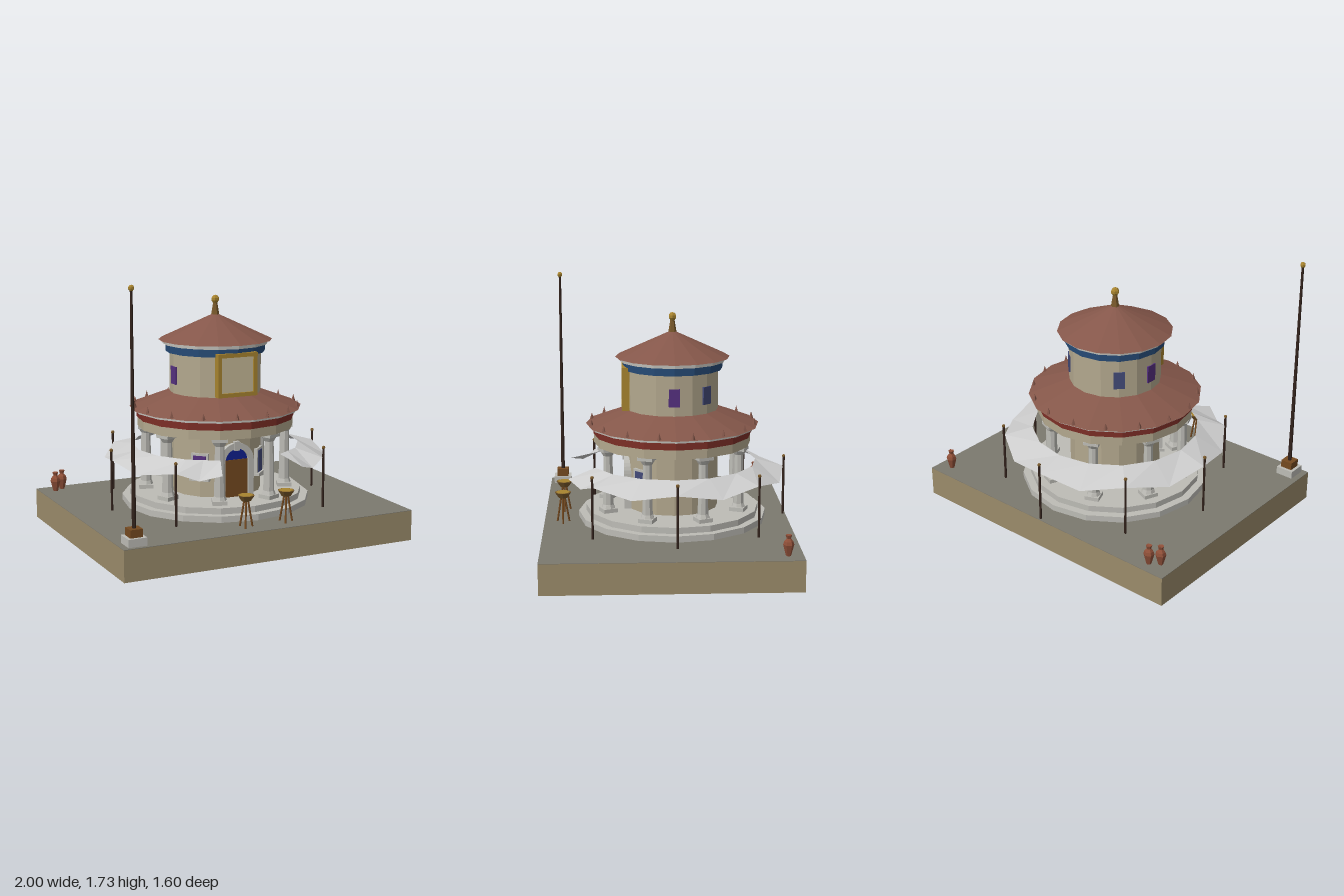
import * as THREE from 'three';

const C = {
  earth: 0x9a8b6a, paving: 0x7c796f, stone: 0xb3a88e, marble: 0xbdbcb6, roof: 0x85574a, red: 0x7c2e26,
  blue: 0x264a75, gold: 0xa8842f, cream: 0xc8bb98, wood: 0x754a20, door: 0x101f90, purple: 0x55307f,
  glass: 0x434a78, dark: 0x33231c, clay: 0x8f4f38, cloth: 0xc0c0c0, bronze: 0x7a5a2c,
};
const SIDES = 16;
const rad = THREE.MathUtils.degToRad;

function mat(color, side = THREE.FrontSide) {
  return new THREE.MeshStandardMaterial({ color, flatShading: true, side });
}
function add(parent, name, geo, color, x = 0, y = 0, z = 0, side) {
  const m = new THREE.Mesh(geo, mat(color, side));
  m.name = name;
  m.position.set(x, y, z);
  parent.add(m);
  return m;
}
const box = (w, h, d) => new THREE.BoxGeometry(w, h, d);

// Polygonal drum between two heights
function drum(parent, name, color, rBottom, rTop, y0, y1, sides = SIDES) {
  return add(parent, name, new THREE.CylinderGeometry(rTop, rBottom, y1 - y0, sides), color, 0, (y0 + y1) / 2, 0);
}
// Open-centred ring with a rectangular section
function ring(parent, name, color, rIn, rOut, y0, y1) {
  const p = [[rIn, y0], [rOut, y0], [rOut, y1], [rIn, y1], [rIn, y0]].map(a => new THREE.Vector2(...a));
  return add(parent, name, new THREE.LatheGeometry(p, SIDES), color);
}
// Straight rod between two points
function rod(parent, name, color, a, b, r) {
  const dir = b.clone().sub(a);
  const m = add(parent, name, new THREE.CylinderGeometry(r, r, dir.length(), 6), color);
  m.position.copy(a).add(b).multiplyScalar(0.5);
  m.quaternion.setFromUnitVectors(new THREE.Vector3(0, 1, 0), dir.normalize());
  return m;
}
// Group turned about the axis; its local +z points outward
function spoke(parent, name, deg) {
  const g = new THREE.Group();
  g.name = name;
  g.rotation.y = rad(deg);
  parent.add(g);
  return g;
}

function archShape(w, spring) {
  const s = new THREE.Shape();
  s.moveTo(-w, 0);
  s.lineTo(w, 0);
  s.lineTo(w, spring);
  s.absarc(0, spring, w, 0, Math.PI, false);
  s.lineTo(-w, 0);
  return s;
}

function column(parent, deg) {
  const g = spoke(parent, 'column', deg);
  const cyl = (n, r0, r1, y0, y1) =>
    add(g, n, new THREE.CylinderGeometry(r1, r0, y1 - y0, 8), C.marble, 0, (y0 + y1) / 2, 0.46);
  add(g, 'columnPlinth', box(0.095, 0.026, 0.095), C.marble, 0, 0.293, 0.46);
  cyl('columnBase', 0.046, 0.037, 0.306, 0.33);
  cyl('columnShaft', 0.036, 0.03, 0.33, 0.655);
  cyl('columnCapital', 0.032, 0.05, 0.655, 0.685);
  add(g, 'columnAbacus', box(0.1, 0.02, 0.1), C.marble, 0, 0.695, 0.46);
}

function windowPanel(parent, deg, y, w, h, color, framed) {
  const g = spoke(parent, 'window', deg);
  if (framed) {
    add(g, 'windowFrame', box(w + 0.03, h + 0.03, 0.03), C.marble, 0, y, 0.295);
    add(g, 'windowSill', box(w + 0.05, 0.018, 0.05), C.marble, 0, y - h / 2 - 0.01, 0.3);
  }
  add(g, 'windowPane', box(w, h, 0.04), color, 0, y, framed ? 0.293 : 0.284);
}

// Cloth canopy strip, sagging between its poles and open at the front
function canopy(parent) {
  const stops = [[22.5, 0.527, 0.735], [33.75, 0.49, 0.721]];
  for (let a = 45; a <= 315; a += 22.5) stops.push([a, a % 45 ? 0.488 : 0.53, 0.735]);
  stops.push([326.25, 0.49, 0.721], [337.5, 0.527, 0.735]);
  const geo = new THREE.PlaneGeometry(1, 1, stops.length - 1, 1);
  const p = geo.attributes.position;
  stops.forEach(([deg, yOut, rOut], i) => {
    const s = Math.sin(rad(deg)), c = Math.cos(rad(deg));
    const rIn = 0.55 * rOut / 0.735;
    p.setXYZ(i, rIn * s, 0.582, rIn * c);
    p.setXYZ(i + stops.length, rOut * s, yOut, rOut * c);
  });
  geo.computeVertexNormals();
  add(parent, 'canopyCloth', geo, C.cloth, 0, 0, 0, THREE.DoubleSide);
  for (let a = 45; a <= 315; a += 45) {
    const g = spoke(parent, 'canopyPole', a);
    add(g, 'poleShaft', new THREE.CylinderGeometry(0.008, 0.008, 0.39, 6), C.dark, 0, 0.395, 0.74);
    add(g, 'poleKnob', new THREE.SphereGeometry(0.012, 6, 4), C.bronze, 0, 0.597, 0.74);
  }
}

function doorway(parent) {
  const g = spoke(parent, 'doorway', 0);
  const frame = archShape(0.122, 0.235);
  frame.holes.push(archShape(0.083, 0.235));
  add(g, 'doorSurround', new THREE.ExtrudeGeometry(frame, { depth: 0.09, bevelEnabled: false, curveSegments: 8 }),
    C.marble, 0, 0.28, 0.23);
  add(g, 'doorLunette', new THREE.ExtrudeGeometry(archShape(0.084, 0.235), { depth: 0.06, bevelEnabled: false, curveSegments: 8 }),
    C.door, 0, 0.28, 0.243);
  add(g, 'doorLeaf', box(0.166, 0.245, 0.06), C.wood, 0, 0.4025, 0.278);
  add(g, 'keystone', box(0.035, 0.06, 0.04), C.marble, 0, 0.617, 0.308);
}

function framedPanel(parent) {
  const g = spoke(parent, 'framedPanel', 0);
  add(g, 'panelField', box(0.25, 0.25, 0.04), C.cream, 0, 1.08, 0.3);
  for (const s of [-1, 1]) {
    add(g, 'panelFrameSide', box(0.026, 0.28, 0.05), C.gold, s * 0.127, 1.08, 0.307);
    add(g, 'panelFrameRail', box(0.28, 0.026, 0.05), C.gold, 0, 1.08 + s * 0.127, 0.307);
  }
}

function brazier(parent, x, z) {
  const g = new THREE.Group();
  g.name = 'brazier';
  g.position.set(x, 0.2, z);
  parent.add(g);
  add(g, 'brazierBowl', new THREE.CylinderGeometry(0.054, 0.03, 0.036, 8), C.bronze, 0, 0.185, 0);
  add(g, 'brazierTop', new THREE.CylinderGeometry(0.045, 0.045, 0.006, 8), C.gold, 0, 0.202, 0);
  for (let i = 0; i < 3; i++) {
    const a = rad(90 + i * 120), s = Math.sin(a), c = Math.cos(a);
    rod(g, 'brazierLeg', C.wood, new THREE.Vector3(s * 0.045, 0, c * 0.045), new THREE.Vector3(s * 0.012, 0.175, c * 0.012), 0.006);
  }
}

function jar(parent, x, z) {
  const p = [[0, 0], [0.016, 0], [0.034, 0.07], [0.028, 0.09], [0.013, 0.108], [0.02, 0.13], [0, 0.126]];
  add(parent, 'jar', new THREE.LatheGeometry(p.map(a => new THREE.Vector2(...a)), 6), C.clay, x, 0.2, z);
}

function flagpole(parent, x, z) {
  add(parent, 'flagpolePlinth', box(0.12, 0.05, 0.12), C.marble, x, 0.225, z);
  add(parent, 'flagpoleBlock', box(0.08, 0.05, 0.08), C.wood, x, 0.275, z);
  add(parent, 'flagpoleShaft', new THREE.CylinderGeometry(0.008, 0.013, 1.4, 6), C.dark, x, 1.0, z);
  add(parent, 'flagpoleKnob', new THREE.SphereGeometry(0.019, 6, 5), C.gold, x, 1.712, z);
}

export function createModel() {
  const model = new THREE.Group();
  model.name = 'roundPavilion';

  // Ground block
  add(model, 'groundBlock', box(2, 0.197, 1.6), C.earth, 0, 0.0985, 0);
  add(model, 'paving', box(2, 0.003, 1.6), C.paving, 0, 0.1985, 0);

  // Round building
  const hall = new THREE.Group();
  hall.name = 'hall';
  hall.position.z = -0.043;
  model.add(hall);
  drum(hall, 'lowerStep', C.marble, 0.62, 0.62, 0.2, 0.24);
  drum(hall, 'upperStep', C.marble, 0.57, 0.57, 0.24, 0.28);
  drum(hall, 'wall', C.stone, 0.3, 0.3, 0.28, 1.2);
  for (let a = 22.5; a < 360; a += 45) column(hall, a);
  ring(hall, 'architrave', C.stone, 0.4, 0.515, 0.705, 0.765);
  ring(hall, 'redFrieze', C.red, 0.4, 0.52, 0.765, 0.815);
  ring(hall, 'lowerCornice', C.marble, 0.4, 0.545, 0.815, 0.832);
  drum(hall, 'lowerRoof', C.roof, 0.567, 0.3, 0.832, 0.933);
  for (let a = 11.25; a < 360; a += 22.5) {
    const g = spoke(hall, 'eaveSpike', a);
    add(g, 'spike', new THREE.ConeGeometry(0.015, 0.045, 4), C.roof, 0, 0.857, 0.54);
  }
  drum(hall, 'blueFrieze', C.blue, 0.326, 0.326, 1.197, 1.248);
  drum(hall, 'upperCornice', C.marble, 0.345, 0.345, 1.248, 1.273);
  drum(hall, 'upperRoof', C.roof, 0.373, 0.012, 1.273, 1.44);
  drum(hall, 'finialStem', C.bronze, 0.028, 0.014, 1.425, 1.51, 6);
  add(hall, 'finialBall', new THREE.SphereGeometry(0.028, 6, 5), C.gold, 0, 1.533, 0);

  // Openings
  doorway(hall);
  framedPanel(hall);
  windowPanel(hall, -45, 0.48, 0.085, 0.145, C.purple, true);
  windowPanel(hall, 45, 0.48, 0.085, 0.145, C.glass, true);
  for (const s of [-1, 1]) {
    windowPanel(hall, s * 90, 1.052, 0.072, 0.115, C.purple, false);
    windowPanel(hall, s * 135, 1.052, 0.072, 0.115, C.glass, false);
  }
  canopy(hall);

  // Courtyard furnishings
  for (const s of [-1, 1]) brazier(model, s * 0.14, 0.677);
  flagpole(model, -0.9, 0.715);
  jar(model, -0.9, -0.685);
  jar(model, -0.84, -0.725);
  jar(model, 0.9, -0.705);
  return model;
}
